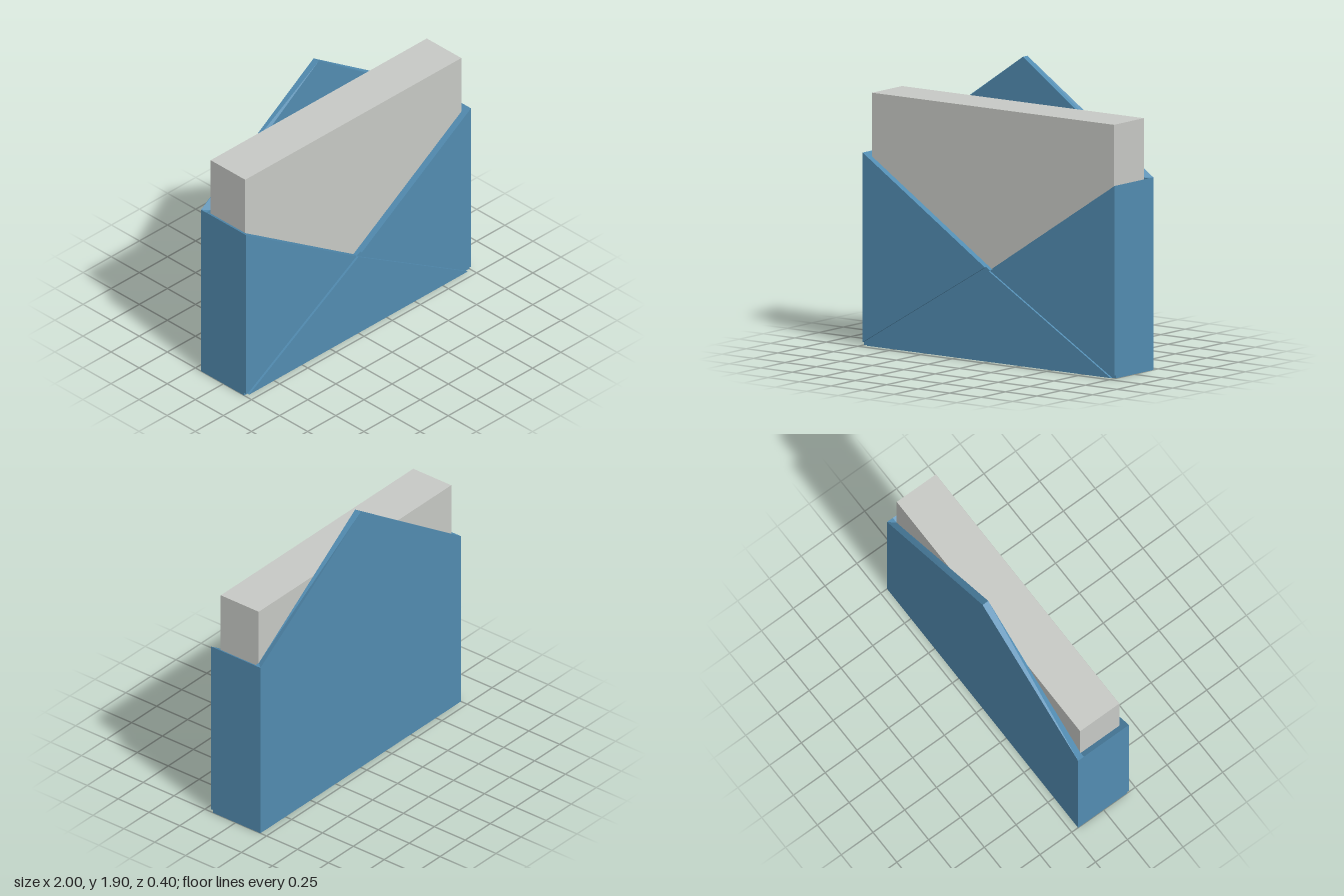
import * as THREE from 'three';

export function createModel() {
  const group = new THREE.Group();
  const blue = new THREE.MeshStandardMaterial({ color: 0x528cb1 });
  blue.name = 'envelope blue';
  const grey = new THREE.MeshStandardMaterial({ color: 0xc7c9c5 });
  grey.name = 'paper grey';

  const back = -0.2, inBack = -0.155, inFront = 0.155, groove = 0.185, front = 0.2;
  const shoulder = 1.23, notch = 0.58, wall = 0.04;

  // Flat outline extruded between two depths
  function slab(name, points, z0, z1, material = blue) {
    const shape = new THREE.Shape(points.map(([x, y]) => new THREE.Vector2(x, y)));
    const geo = new THREE.ExtrudeGeometry(shape, { depth: z1 - z0, bevelEnabled: false });
    geo.translate(0, 0, z0);
    const mesh = new THREE.Mesh(geo, material);
    mesh.name = name;
    group.add(mesh);
    return mesh;
  }

  // Back panel
  slab('backPanel', [[-1, 0], [1, 0], [1, shoulder], [-1, shoulder]], back, inBack);

  // Open top flap, slightly narrower on its inner face
  const flap = slab('topFlap', [[-1, shoulder], [1, shoulder], [0, 1.9]], back, inBack);
  const pos = flap.geometry.attributes.position;
  for (let i = 0; i < pos.count; i++) {
    if (pos.getZ(i) > -0.18) pos.setX(i, pos.getX(i) * 0.96);
  }
  flap.geometry.computeVertexNormals();

  // Floor between the side walls
  slab('bottomPanel', [[-1 + wall, 0], [1 - wall, 0], [1 - wall, wall], [-1 + wall, wall]], inBack, inFront);

  // Front panel with its V opening; it forms the floor of the fold grooves
  slab('frontPanel', [[-1, 0], [1, 0], [1, shoulder], [0, notch], [-1, shoulder]], inFront, groove);

  // Bottom fold
  slab('bottomFold', [[-0.97, 0], [0.97, 0], [0, notch]], groove, front);

  // Side walls and side folds
  for (const [s, side] of [[1, 'left'], [-1, 'right']]) {
    slab(side + 'Wall', [[s, 0], [s, shoulder], [s * (1 - wall), 1.204], [s * (1 - wall), 0]], inBack, inFront);
    slab(side + 'Fold', [[s, 0.02], [s, shoulder], [s * 0.03, 0.6]], groove, front);
  }

  // Letter standing inside
  slab('letter', [[-0.96, wall], [0.96, wall], [0.96, 1.61], [-0.96, 1.61]], -0.154, 0.154, grey);

  return group;
}
